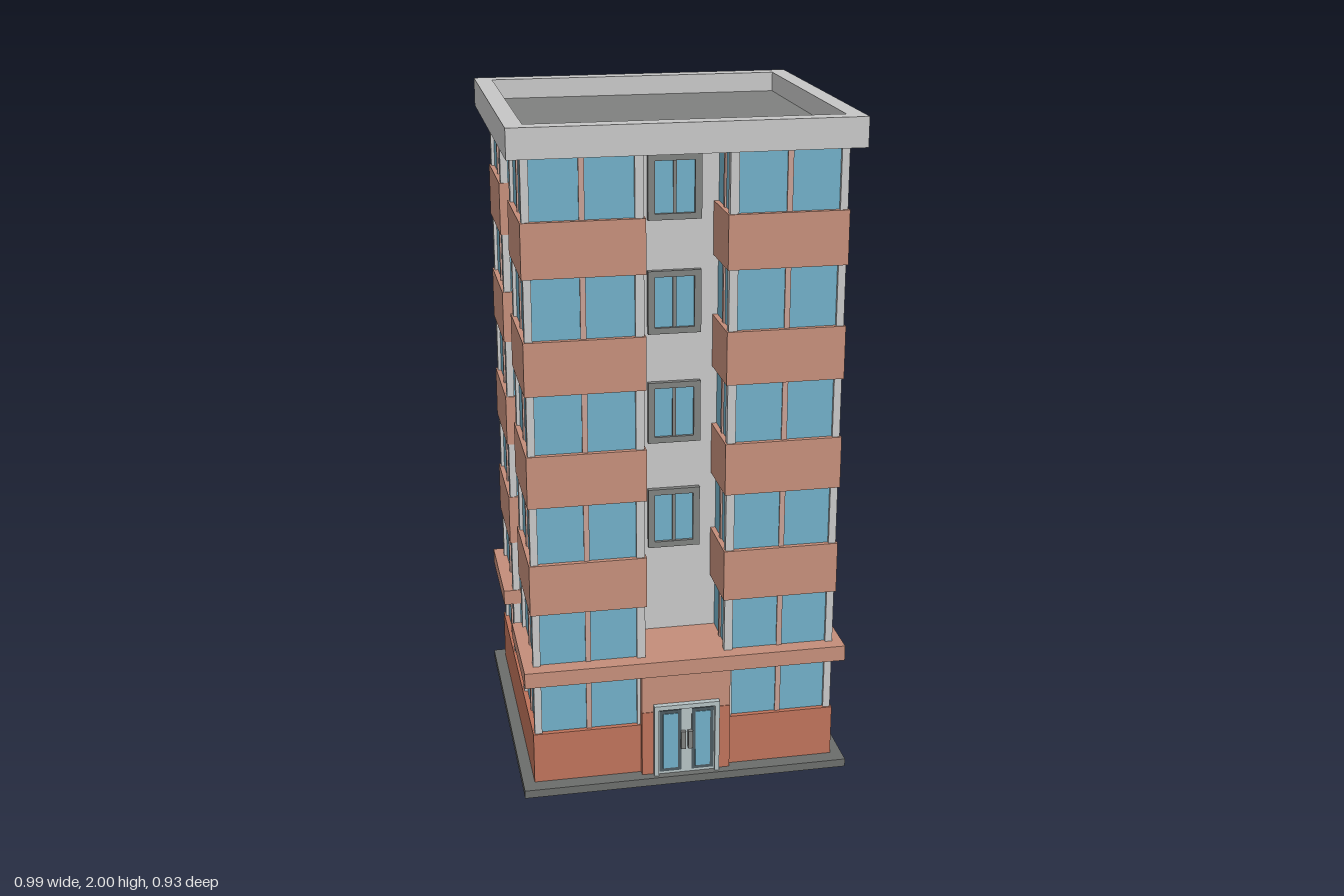
import * as THREE from 'three';

const paint = (name, color) => {
  const m = new THREE.MeshStandardMaterial({ color });
  m.name = name;
  return m;
};

export function createModel() {
  const wall = paint('paleWall', 0xc8c8c8);
  const brick = paint('brick', 0xbf735b);
  const band = paint('terracotta', 0xc68f7b);
  const glass = paint('glass', 0x72b0c8);
  const frame = paint('frameGrey', 0x808280);
  const plinthGrey = paint('plinthGrey', 0x6c6e6c);
  const mullionPink = paint('mullionPink', 0xc8a196);
  const doorFrame = paint('doorFrame', 0xb6c2c4);
  const doorDark = paint('doorDark', 0x4c5a60);

  const model = new THREE.Group();
  model.name = 'apartmentTower';
  const building = new THREE.Group();
  building.name = 'building';
  building.position.z = -0.005;
  model.add(building);

  // Box from two opposite corners, in any order
  const box = (parent, name, mat, x0, x1, y0, y1, z0, z1) => {
    const g = new THREE.BoxGeometry(Math.abs(x1 - x0), Math.abs(y1 - y0), Math.abs(z1 - z0));
    const m = new THREE.Mesh(g, mat);
    m.position.set((x0 + x1) / 2, (y0 + y1) / 2, (z0 + z1) / 2);
    m.name = name;
    parent.add(m);
    return m;
  };
  const group = (parent, name) => {
    const g = new THREE.Group();
    g.name = name;
    parent.add(g);
    return g;
  };

  const TOP = 1.915;
  const FLOOR = 0.335;
  const CORE_X = 0.24, CORE_Z = 0.235;

  // Ground slab, brick base and central core
  box(model, 'groundSlab', plinthGrey, -0.495, 0.495, 0, 0.025, -0.466, 0.466);
  box(building, 'brickBase', brick, -0.46, 0.46, 0.025, 0.185, -0.425, 0.425);
  box(building, 'core', wall, -CORE_X, CORE_X, 0.185, TOP, -CORE_Z, CORE_Z);

  // Four glazed corner towers
  for (const sx of [-1, 1]) for (const sz of [-1, 1]) {
    const t = group(building, 'cornerTower');
    const part = (name, mat, x0, x1, y0, y1, z0, z1) =>
      box(t, name, mat, sx * x0, sx * x1, y0, y1, sz * z0, sz * z1);
    part('glazing', glass, 0.13, 0.445, 0.185, TOP, 0.13, 0.41);
    part('outerPost', wall, 0.433, 0.455, 0.185, TOP, 0.397, 0.42);
    part('frontInnerPost', wall, 0.12, 0.145, 0.185, TOP, 0.397, 0.42);
    part('sideInnerPost', wall, 0.433, 0.455, 0.185, TOP, 0.12, 0.15);
    part('frontMullion', mullionPink, 0.282, 0.298, 0.185, TOP, 0.40, 0.415);
    part('sideMullion', mullionPink, 0.44, 0.45, 0.185, TOP, 0.261, 0.277);
    part('frontRecessMullion', mullionPink, 0.125, 0.14, 0.185, TOP, 0.312, 0.328);
    part('sideRecessMullion', mullionPink, 0.332, 0.348, 0.185, TOP, 0.125, 0.14);
    for (let i = 0; i < 4; i++) {
      const y = 0.575 + i * FLOOR;
      part('floorBand', band, 0.115, 0.46, y, y + 0.157, 0.117, 0.425);
    }
  }

  // Front and back: canopy, entrance block and recessed windows
  for (const s of [-1, 1]) {
    const face = group(building, s > 0 ? 'frontFace' : 'backFace');
    box(face, 'canopy', band, -0.485, 0.485, 0.36, 0.408, s * 0.117, s * 0.46);
    box(face, 'entranceUpperWall', band, -0.135, 0.135, 0.235, 0.36, s * 0.2, s * 0.443);
    box(face, 'entranceLowerWall', brick, -0.135, 0.135, 0.025, 0.235, s * 0.2, s * 0.445);
    for (let i = 0; i < 4; i++) {
      const y = 0.685 + i * FLOOR, w = group(face, 'window');
      const z0 = s * CORE_Z, z1 = s * (CORE_Z + 0.016);
      box(w, 'windowGlass', glass, -0.065, 0.065, y + 0.01, y + 0.175, z0, s * (CORE_Z + 0.006));
      for (const e of [-1, 1]) box(w, 'windowJamb', frame, e * 0.058, e * 0.078, y, y + 0.187, z0, z1);
      box(w, 'windowSill', frame, -0.058, 0.058, y, y + 0.018, z0, z1);
      box(w, 'windowHead', frame, -0.058, 0.058, y + 0.169, y + 0.187, z0, z1);
      box(w, 'windowMullion', frame, -0.005, 0.005, y + 0.018, y + 0.169, z0, s * (CORE_Z + 0.012));
    }
  }

  // Sides: tall stair window in each recess
  for (const s of [-1, 1]) {
    const w = group(building, 'stairWindow');
    const x0 = s * CORE_X, x1 = s * (CORE_X + 0.016), x2 = s * (CORE_X + 0.012);
    box(w, 'stairGlass', glass, x0, s * (CORE_X + 0.006), 0.25, 1.865, -0.065, 0.065);
    for (const e of [-1, 1]) box(w, 'stairJamb', frame, x0, x1, 0.24, 1.875, e * 0.058, e * 0.078);
    box(w, 'stairSill', frame, x0, x1, 0.24, 0.26, -0.058, 0.058);
    box(w, 'stairHead', frame, x0, x1, 1.857, 1.875, -0.058, 0.058);
    box(w, 'stairMullion', frame, x0, x2, 0.26, 1.857, -0.005, 0.005);
    for (let i = 0; i < 9; i++) {
      const y = 0.415 + i * 0.166;
      box(w, 'stairTransom', frame, x0, x2, y - 0.006, y + 0.006, -0.058, 0.058);
    }
  }

  // Double entrance door
  const door = group(building, 'entranceDoor');
  for (const e of [-1, 1]) {
    box(door, 'doorPost', doorFrame, e * 0.086, e * 0.1, 0.025, 0.26, 0.44, 0.46);
    box(door, 'doorLeaf', doorFrame, 0, e * 0.086, 0.025, 0.248, 0.44, 0.449);
    box(door, 'doorPanel', doorDark, e * 0.016, e * 0.083, 0.034, 0.24, 0.445, 0.452);
    box(door, 'doorGlass', glass, e * 0.027, e * 0.072, 0.045, 0.229, 0.447, 0.454);
    box(door, 'doorHandle', frame, e * 0.004, e * 0.018, 0.11, 0.168, 0.449, 0.462);
  }
  box(door, 'doorHead', doorFrame, -0.086, 0.086, 0.246, 0.26, 0.44, 0.46);

  // Roof slab, parapet ring and sunken deck
  const roof = group(building, 'roof');
  box(roof, 'roofSlab', wall, -0.495, 0.495, TOP, 1.935, -0.459, 0.459);
  box(roof, 'roofDeck', frame, -0.444, 0.444, 1.935, 1.942, -0.406, 0.406);
  for (const s of [-1, 1]) {
    box(roof, 'longParapet', wall, -0.495, 0.495, 1.935, 2, s * 0.406, s * 0.459);
    box(roof, 'shortParapet', wall, s * 0.444, s * 0.495, 1.935, 2, -0.406, 0.406);
  }
  return model;
}
